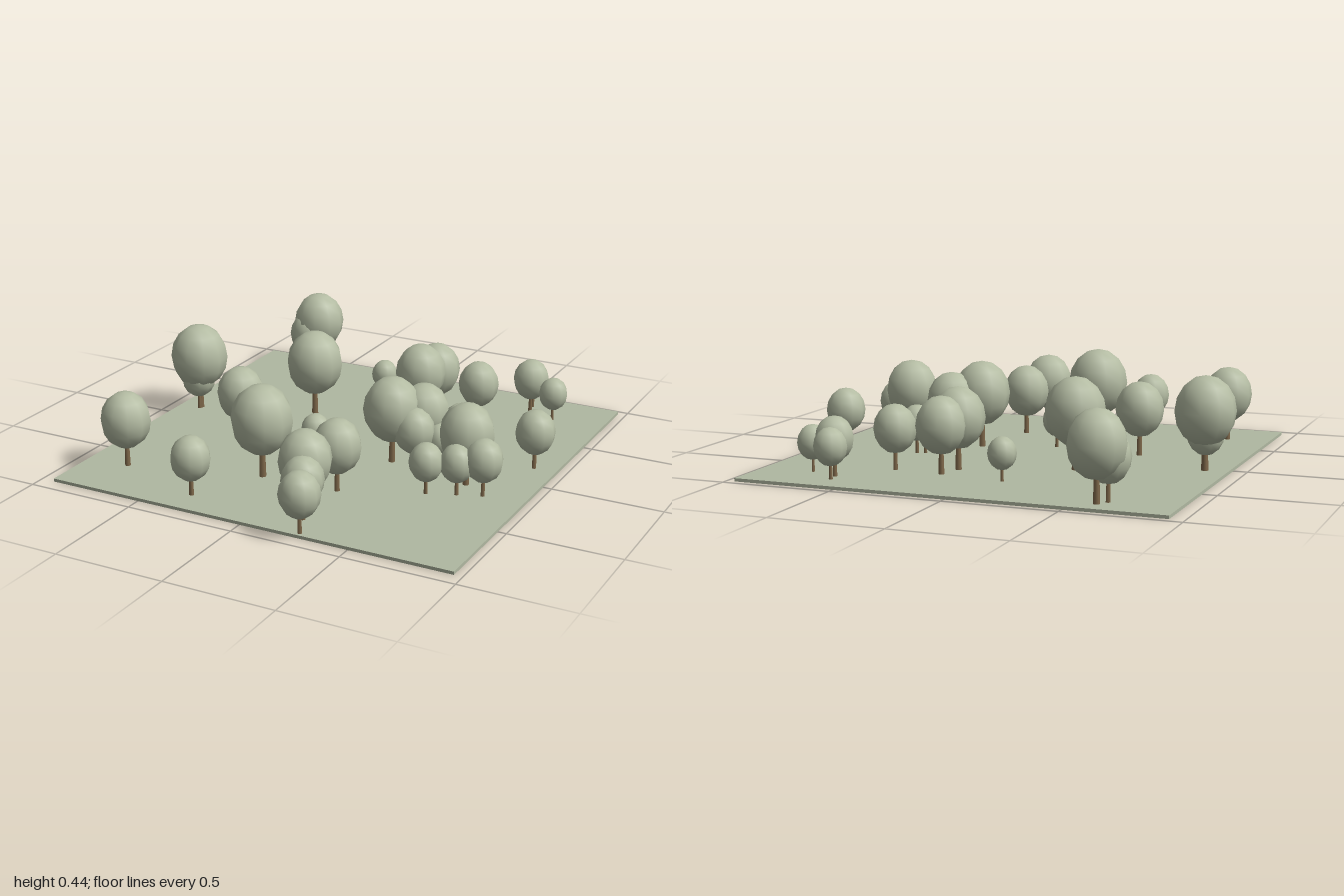
import * as THREE from 'three';

// One row per tree: x, z, crown radius
const TREES = [
  [-0.615, -0.88, 0.122], [-0.648, -0.835, 0.093], [-0.11, -0.62, 0.061],
  [0.575, -0.84, 0.071], [0.588, -0.777, 0.083], [0.72, -0.725, 0.066],
  [0.187, -0.575, 0.108], [0.157, -0.462, 0.116], [0.41, -0.56, 0.092],
  [-0.312, -0.283, 0.13], [0.484, -0.183, 0.071], [0.448, -0.17, 0.062],
  [0.86, -0.147, 0.087], [-0.835, -0.095, 0.132], [-0.833, -0.08, 0.08],
  [0.382, -0.02, 0.113], [0.483, 0.025, 0.065], [0.39, 0.095, 0.09],
  [0.274, 0.077, 0.127], [-0.47, 0.13, 0.107], [-0.056, 0.178, 0.064],
  [0.667, 0.156, 0.119], [0.779, 0.232, 0.083], [0.675, 0.272, 0.074],
  [0.555, 0.322, 0.074], [-0.15, 0.485, 0.135], [0.208, 0.47, 0.105],
  [0.178, 0.693, 0.113], [0.22, 0.79, 0.09], [0.272, 0.91, 0.087],
  [-0.738, 0.658, 0.11], [-0.316, 0.797, 0.086],
];
const GROUND_TOP = 0.014;

function material(name, color) {
  const m = new THREE.MeshStandardMaterial({ color });
  m.name = name;
  return m;
}

export function createModel() {
  const model = new THREE.Group();
  model.name = 'grove';
  const grass = material('grass', 0xb0b8a1);
  const leaves = material('leaves', 0xb4bca3);
  const bark = material('bark', 0x80694b);

  // Flat square of ground
  const ground = new THREE.Mesh(new THREE.BoxGeometry(1.9, GROUND_TOP, 1.9), grass);
  ground.name = 'ground';
  ground.position.set(0.013, GROUND_TOP / 2, -0.018);
  model.add(ground);

  // Unit tree with crown radius 1, scaled for every tree
  const crownGeometry = new THREE.SphereGeometry(1.02, 10, 8).scale(1, 1.15, 1).translate(0, 1.96, 0);
  const trunkGeometry = new THREE.CylinderGeometry(0.085, 0.12, 1.2, 6).translate(0, 0.6, 0);

  TREES.forEach(([x, z, radius], i) => {
    const tree = new THREE.Group();
    tree.name = `tree${i + 1}`;
    const crown = new THREE.Mesh(crownGeometry, leaves);
    crown.name = 'crown';
    const trunk = new THREE.Mesh(trunkGeometry, bark);
    trunk.name = 'trunk';
    tree.add(trunk, crown);
    tree.position.set(x, GROUND_TOP, z);
    tree.rotation.y = i * 2.4;
    tree.scale.setScalar(radius);
    model.add(tree);
  });
  return model;
}
